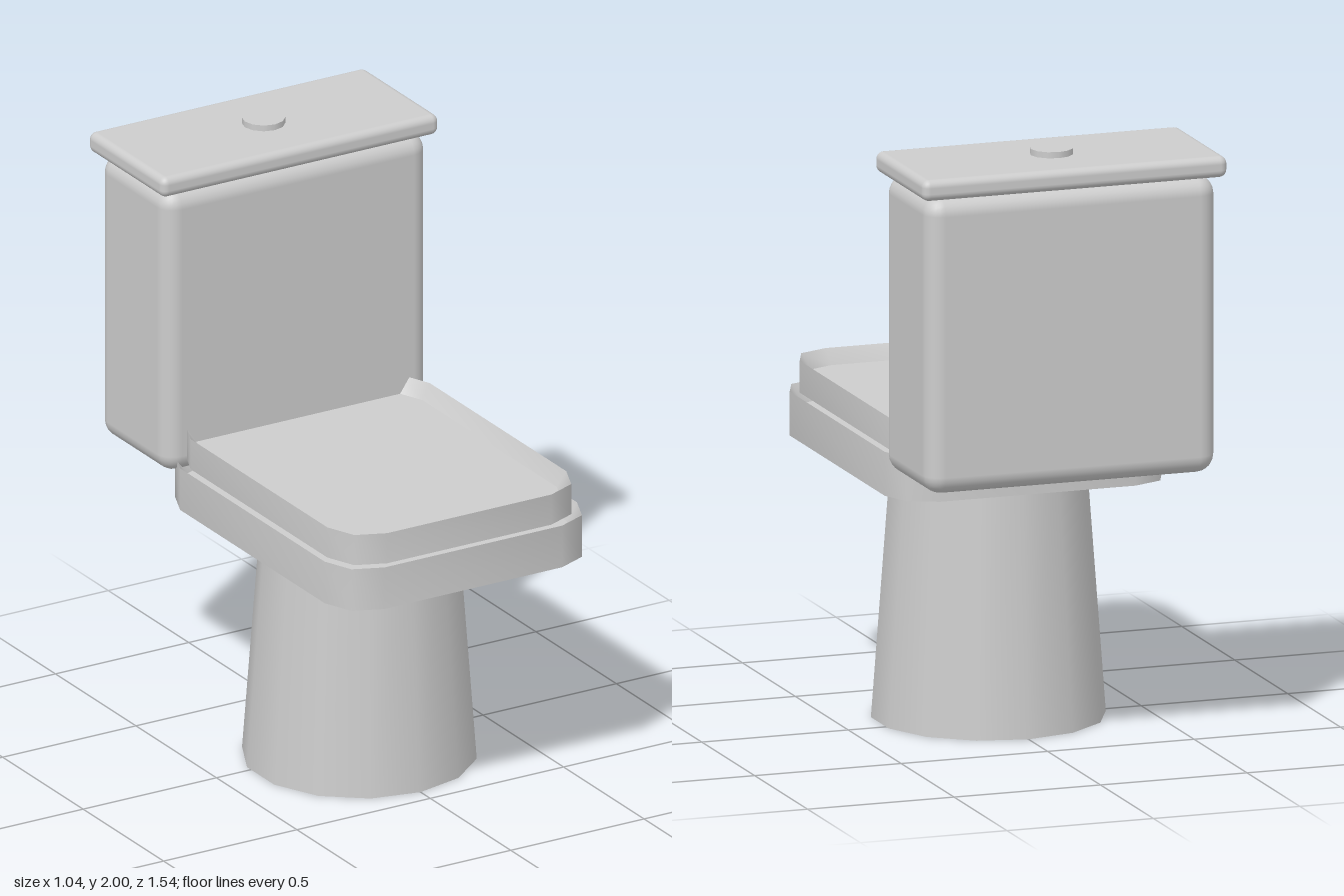
import * as THREE from 'three';
import { toCreasedNormals } from 'three/addons/utils/BufferGeometryUtils.js';
import { RoundedBoxGeometry } from 'three/addons/geometries/RoundedBoxGeometry.js';

const ceramic = new THREE.MeshStandardMaterial({ color: 0xcccccc });
ceramic.name = 'ceramic grey';

// Rectangle with rounded corners, centred on the origin
function roundedRect(hw, hl, r) {
  const s = new THREE.Shape();
  s.absarc(hw - r, hl - r, r, 0, Math.PI / 2);
  s.absarc(-hw + r, hl - r, r, Math.PI / 2, Math.PI);
  s.absarc(-hw + r, -hl + r, r, Math.PI, Math.PI * 1.5);
  s.absarc(hw - r, -hl + r, r, Math.PI * 1.5, Math.PI * 2);
  s.closePath();
  return s;
}

// Slab with upright sides and a panel sunk inside the rim, above and below.
// The negative bevel thickness slopes from the rim down to the panel.
function tray(halfWidth, zBack, zFront, yBottom, yTop, inset, sink) {
  const shape = roundedRect(halfWidth, (zFront - zBack) / 2, 0.14);
  const g = new THREE.ExtrudeGeometry(shape, {
    depth: yTop - yBottom,
    curveSegments: 1,
    bevelEnabled: true,
    bevelThickness: -sink,
    bevelSize: inset,
    bevelOffset: -inset,
    bevelSegments: 1,
  });
  g.rotateX(-Math.PI / 2);
  g.translate(0, yBottom, (zFront + zBack) / 2);
  return toCreasedNormals(g, 0.85);
}

function roundedBox(w, y0, y1, z0, z1, r) {
  const g = new RoundedBoxGeometry(w, y1 - y0, z1 - z0, 3, r);
  return g.translate(0, (y0 + y1) / 2, (z0 + z1) / 2);
}

export function createModel() {
  const model = new THREE.Group();
  model.name = 'toilet';
  const add = (name, geometry) => {
    const mesh = new THREE.Mesh(geometry, ceramic);
    mesh.name = name;
    model.add(mesh);
  };

  // Tapered foot
  add('pedestal', new THREE.CylinderGeometry(0.313, 0.38, 0.9, 14).translate(0, 0.45, 0.06));

  // Bowl rim and the smaller lid resting on it
  add('bowlRim', tray(0.473, -0.41, 0.768, 0.83, 0.975, 0.035, 0.06));
  add('seatLid', tray(0.448, -0.385, 0.743, 0.975, 1.08, 0.032, 0.05));

  // Water tank with cover and flush button
  add('tank', roundedBox(0.99, 0.93, 1.91, -0.745, -0.32, 0.06));
  add('tankCover', roundedBox(1.04, 1.91, 1.98, -0.77, -0.3, 0.025));
  add('flushButton', new THREE.CylinderGeometry(0.07, 0.07, 0.04, 12).translate(0, 1.98, -0.535));

  return model;
}
